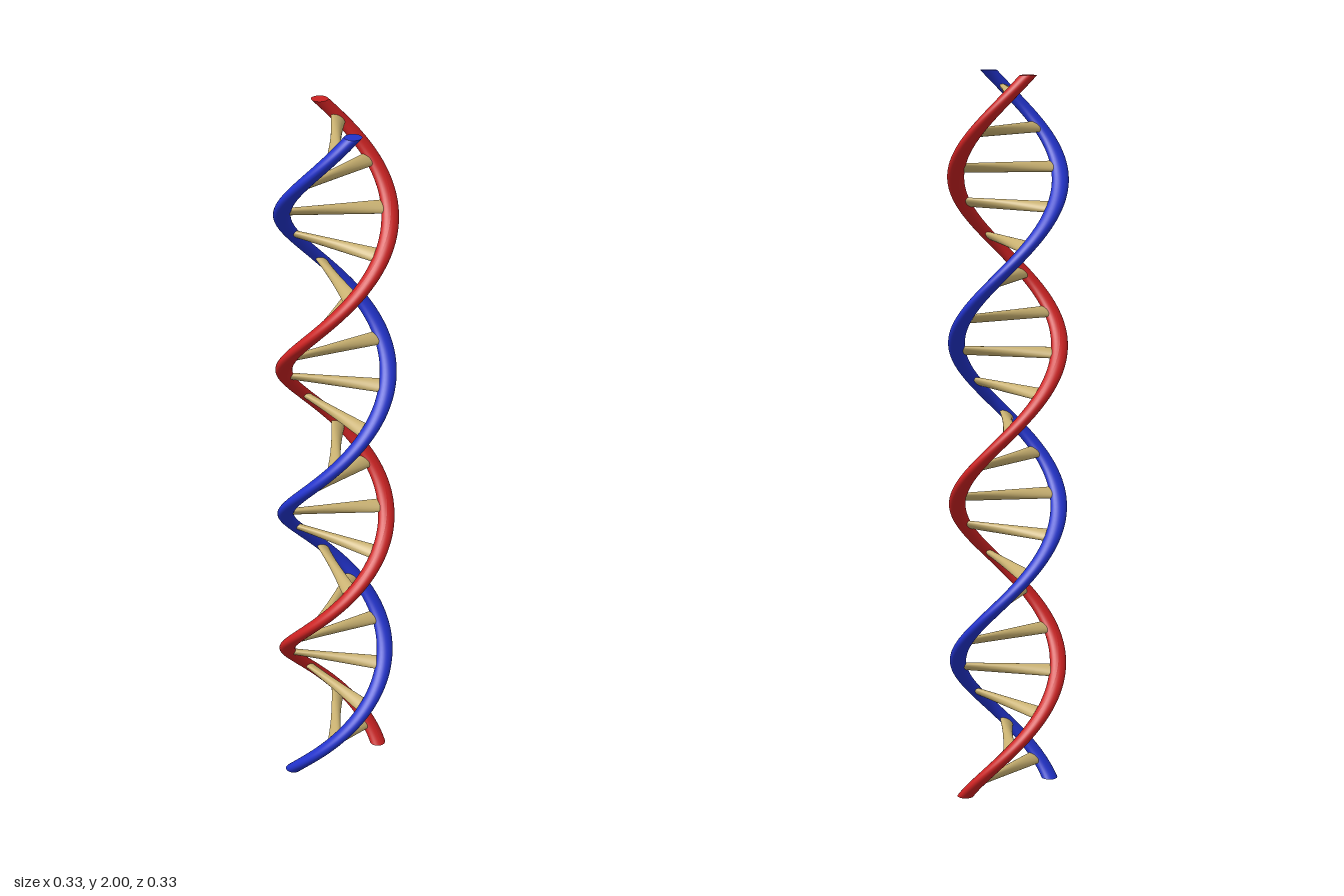
import * as THREE from 'three';

const HEIGHT = 2, PITCH = 0.9, RADIUS = 0.14, STRAND_R = 0.0228, RUNG_R = 0.0138;
const RUNGS = 20, FIRST_RUNG = 0.05;

// Twist a straight ladder part about the y axis; angle is zero at the first rung
function twist(geometry) {
  const pos = geometry.attributes.position;
  const p = new THREE.Vector3(), up = new THREE.Vector3(0, 1, 0);
  for (let i = 0; i < pos.count; i++) {
    p.fromBufferAttribute(pos, i);
    p.applyAxisAngle(up, (p.y - FIRST_RUNG) / PITCH * Math.PI * 2);
    pos.setXYZ(i, p.x, p.y, p.z);
  }
  geometry.computeVertexNormals();
  return geometry;
}

export function createModel() {
  const model = new THREE.Group();
  model.name = 'doubleHelix';
  const material = (color) => new THREE.MeshStandardMaterial({ color });

  // Two upright rails, twisted into opposite strands
  for (const [name, x, color] of [['redStrand', RADIUS, 0xcc2222], ['blueStrand', -RADIUS, 0x2233cc]]) {
    const rail = new THREE.CylinderGeometry(STRAND_R, STRAND_R, HEIGHT, 32, 200);
    rail.translate(x, HEIGHT / 2, 0);
    const strand = new THREE.Mesh(twist(rail), material(color));
    strand.name = name;
    model.add(strand);
  }

  // Evenly spaced round rungs, twisted along with the rails
  const rungs = new THREE.Group();
  rungs.name = 'rungs';
  const tan = material(0xc8b070);
  for (let i = 0; i < RUNGS; i++) {
    const bar = new THREE.CylinderGeometry(RUNG_R, RUNG_R, RADIUS * 2, 24, 8);
    bar.rotateZ(Math.PI / 2).translate(0, FIRST_RUNG + i * HEIGHT / RUNGS, 0);
    const rung = new THREE.Mesh(twist(bar), tan);
    rung.name = `rung${i + 1}`;
    rungs.add(rung);
  }
  model.add(rungs);
  return model;
}
